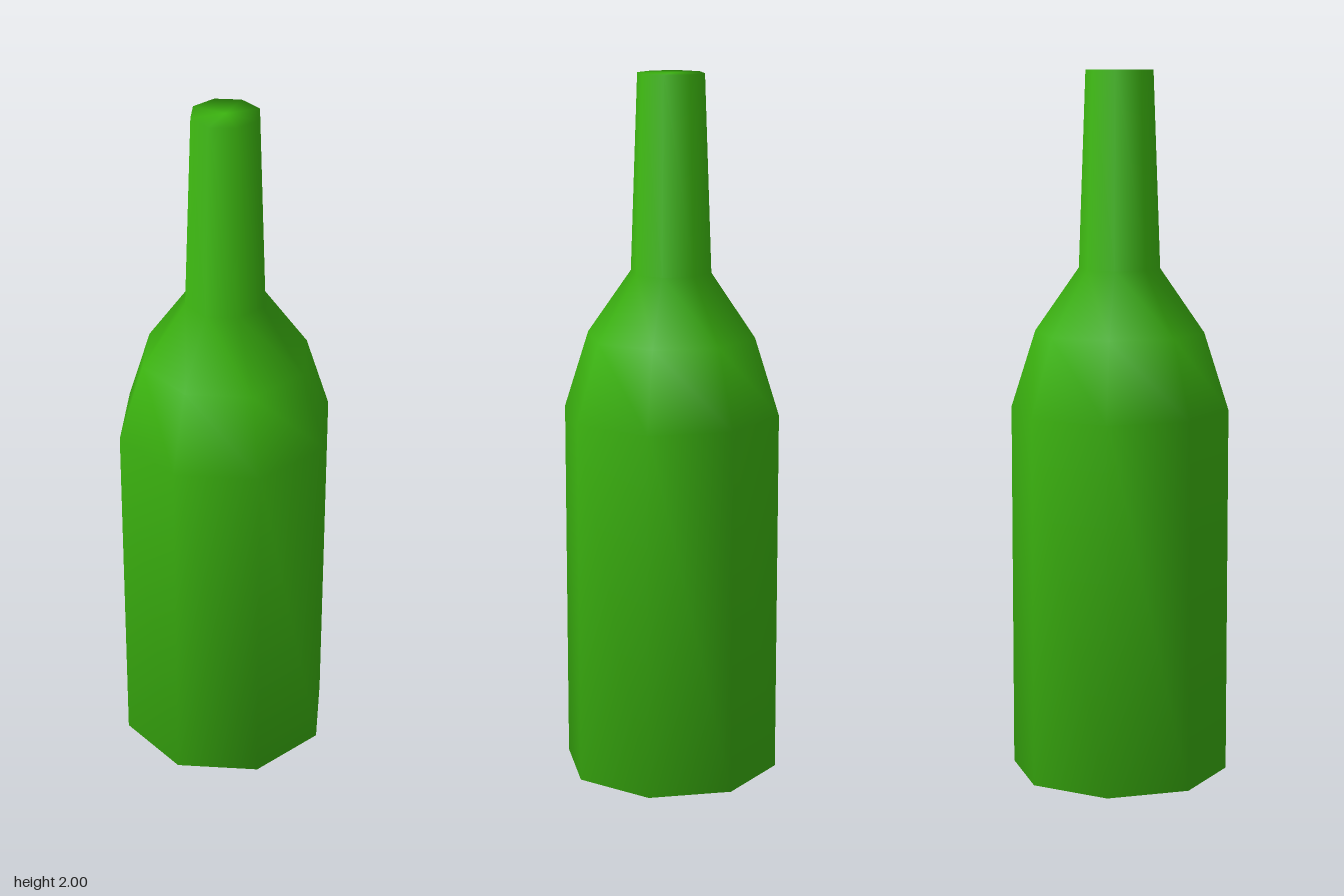
import * as THREE from 'three';

export function createModel() {
  const group = new THREE.Group();
  group.name = 'bottle';

  const greenGlass = new THREE.MeshStandardMaterial({ color: 0x3cb510 });
  greenGlass.name = 'green glass';

  // Closed profile (radius, height): base, body, shoulder, neck, cap
  const profile = [
    [0, 0], [0.31, 0], [0.31, 1.05], [0.24, 1.27],
    [0.115, 1.45], [0.095, 2], [0, 2],
  ].map(([r, y]) => new THREE.Vector2(r, y));

  // Eight smooth-shaded sides with corners on the x and z axes
  const body = new THREE.Mesh(new THREE.LatheGeometry(profile, 8), greenGlass);
  body.name = 'bottleBody';
  group.add(body);

  return group;
}
